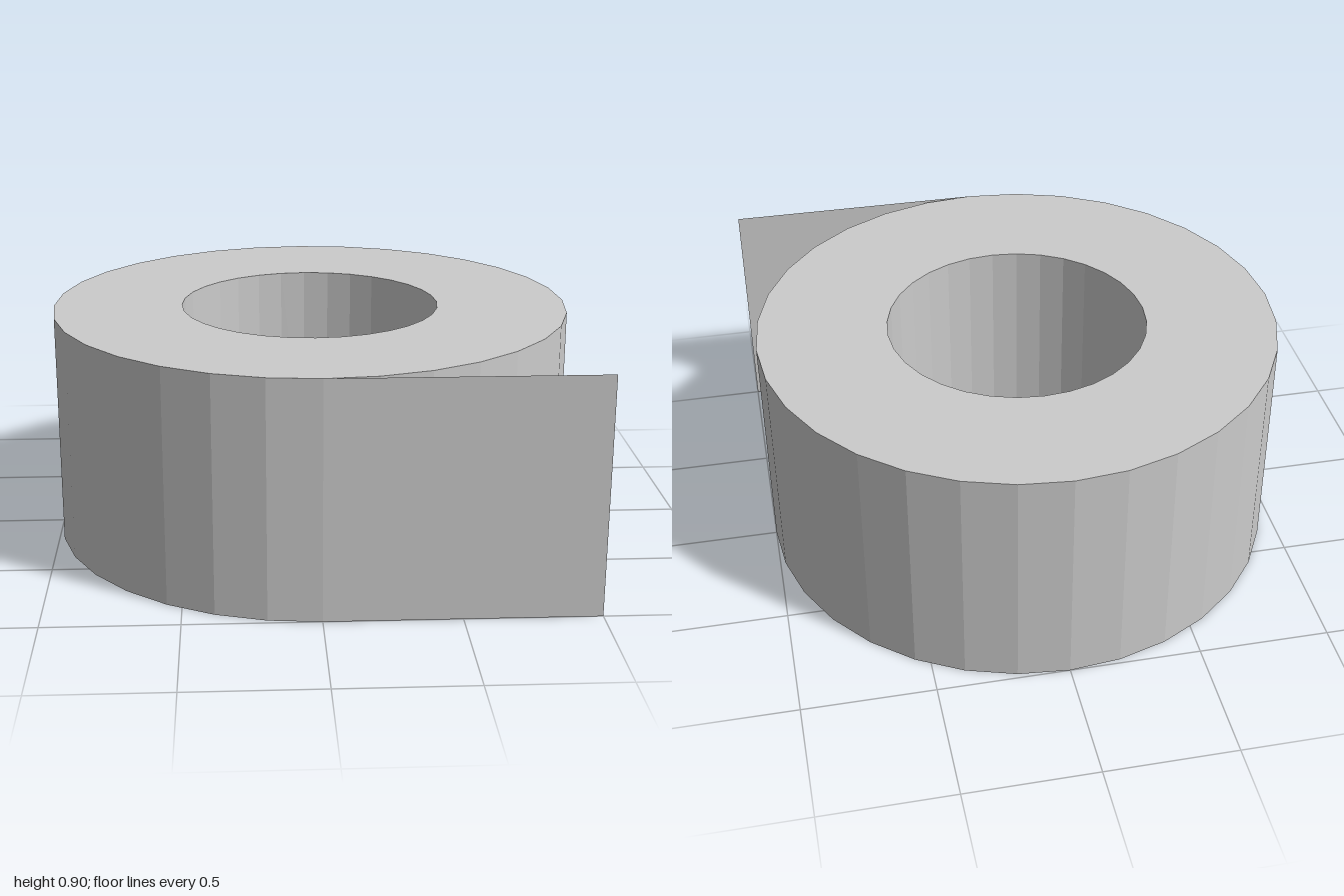
import * as THREE from 'three';

const OUTER = 1, INNER = 0.5, HEIGHT = 0.9, SIDES = 32;

export function createModel() {
  const group = new THREE.Group();
  group.name = 'tapeRoll';

  // Wound roll: rectangular ring section turned about y
  const section = [
    [INNER, 0], [OUTER, 0], [OUTER, HEIGHT], [INNER, HEIGHT], [INNER, 0],
  ].map(([r, y]) => new THREE.Vector2(r, y));
  const roll = new THREE.Mesh(
    new THREE.LatheGeometry(section, SIDES),
    new THREE.MeshStandardMaterial({ color: 0xcccccc, flatShading: true })
  );
  roll.name = 'roll';
  group.add(roll);

  // Loose end: thin sheet leaving the front of the roll along its tangent
  const looseEnd = new THREE.Mesh(
    new THREE.PlaneGeometry(OUTER, HEIGHT),
    new THREE.MeshStandardMaterial({ color: 0xcccccc, flatShading: true, side: THREE.DoubleSide })
  );
  looseEnd.name = 'looseEnd';
  looseEnd.position.set(OUTER / 2, HEIGHT / 2, OUTER);
  group.add(looseEnd);

  return group;
}
